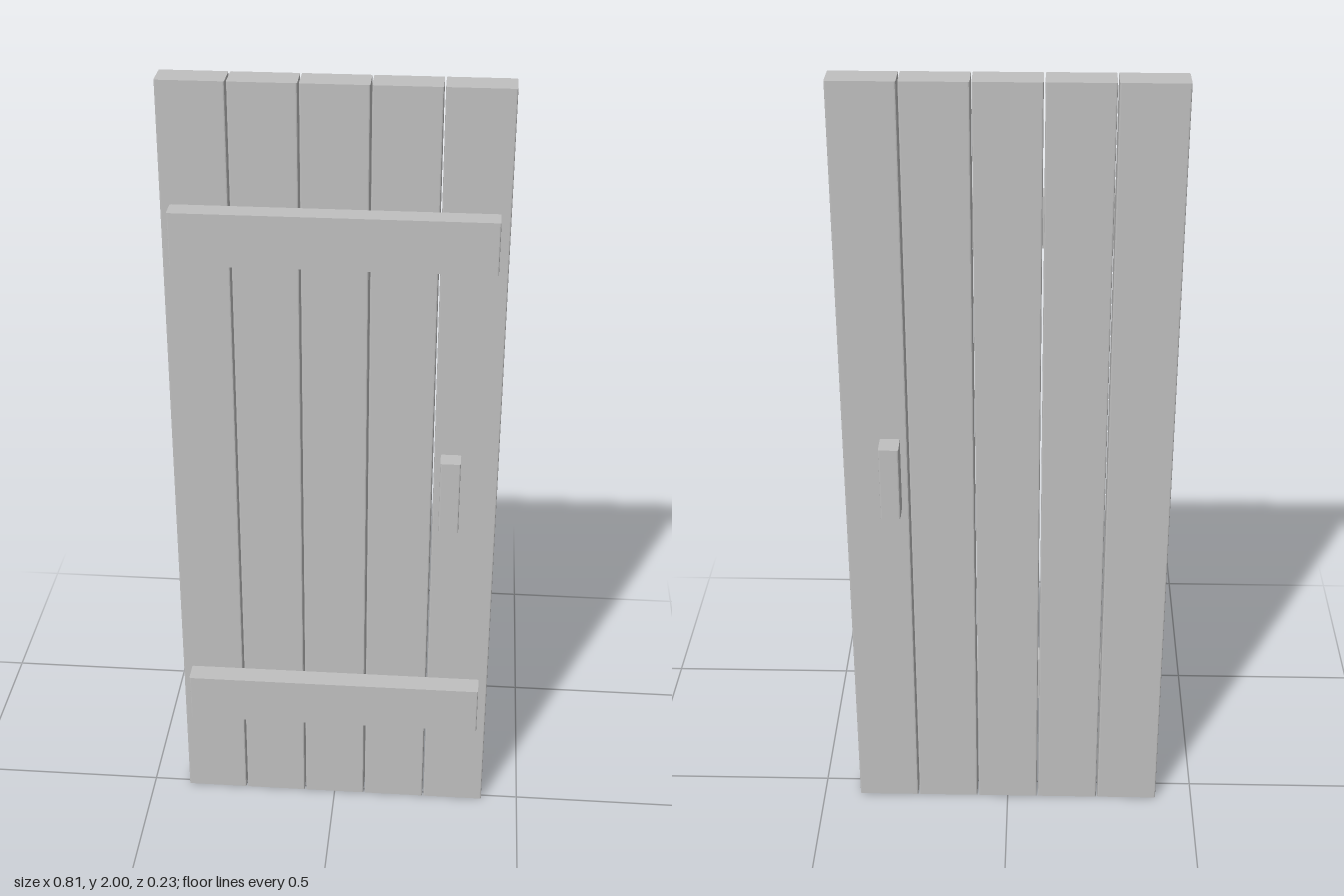
import * as THREE from 'three';

const EASE = 0.004; // softening of the upright edges

// Upright block with eased vertical edges, given by its limits on each axis
function block(name, material, [x0, x1], [y0, y1], [z0, z1]) {
  const w = (x1 - x0) / 2, d = (z1 - z0) / 2, r = EASE;
  const s = new THREE.Shape();
  s.moveTo(-w + r, -d);
  s.lineTo(w - r, -d);
  s.quadraticCurveTo(w, -d, w, -d + r);
  s.lineTo(w, d - r);
  s.quadraticCurveTo(w, d, w - r, d);
  s.lineTo(-w + r, d);
  s.quadraticCurveTo(-w, d, -w, d - r);
  s.lineTo(-w, -d + r);
  s.quadraticCurveTo(-w, -d, -w + r, -d);
  const geometry = new THREE.ExtrudeGeometry(s, { depth: y1 - y0, bevelEnabled: false, curveSegments: 3 });
  geometry.rotateX(-Math.PI / 2);
  const mesh = new THREE.Mesh(geometry, material);
  mesh.name = name;
  mesh.position.set((x0 + x1) / 2, y0, (z0 + z1) / 2);
  return mesh;
}

export function createModel() {
  const door = new THREE.Group();
  door.name = 'plankDoor';
  const grey = new THREE.MeshStandardMaterial({ color: 0xc0c0c0 });
  grey.name = 'plainGrey';

  // Five upright planks with narrow gaps
  const pitch = 0.162, half = 0.079;
  for (let i = -2; i <= 2; i++) {
    const x = i * pitch;
    door.add(block(`plank${i + 3}`, grey, [x - half, x + half], [0, 2], [-0.06, 0.015]));
  }

  // Two cross battens on the front
  door.add(block('lowerBatten', grey, [-0.38, 0.38], [0.275, 0.403], [0.015, 0.07]));
  door.add(block('upperBatten', grey, [-0.38, 0.38], [1.58, 1.708], [0.015, 0.07]));

  // Handles: the front one stands clear of the planks, level with the battens' faces
  door.add(block('frontHandle', grey, [0.262, 0.311], [0.917, 1.109], [0.07, 0.117]));
  door.add(block('backHandle', grey, [0.262, 0.311], [0.917, 1.109], [-0.118, -0.06]));

  return door;
}
